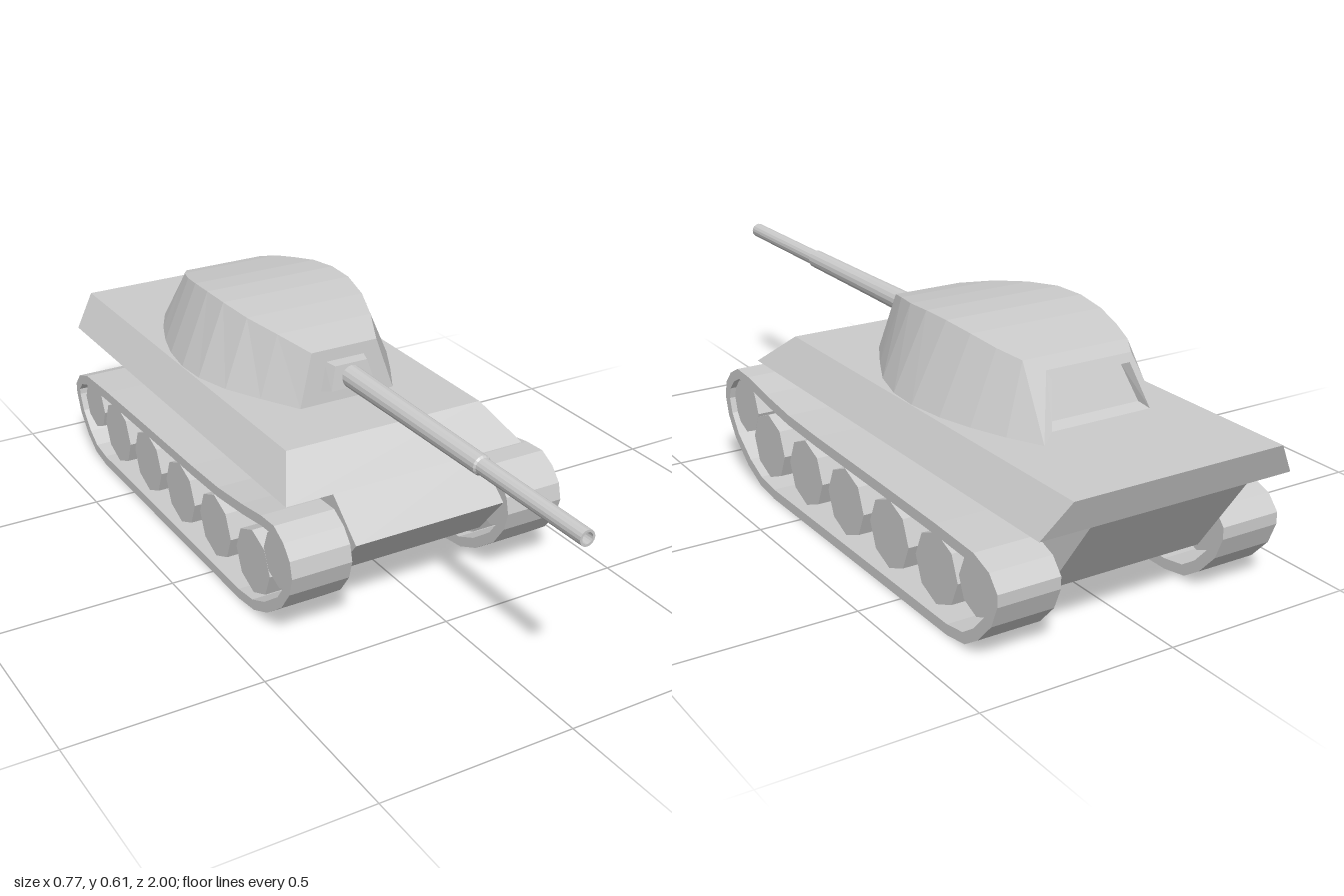
import * as THREE from 'three';

const material = new THREE.MeshStandardMaterial({ color: 0xcccccc, flatShading: true });

function addMesh(parent, name, geometry) {
  const mesh = new THREE.Mesh(geometry, material);
  mesh.name = name;
  parent.add(mesh);
  return mesh;
}

// Four-cornered section, symmetric in x: bottom half-width, y, z, then the same for the top
function section(xb, yb, zb, xt, yt, zt) {
  return [[-xb, yb, zb], [-xt, yt, zt], [xt, yt, zt], [xb, yb, zb]];
}

// Skin a row of sections running from front to back, with both ends capped
function loft(sections) {
  const pos = [];
  const quad = (a, b, c, d) => pos.push(...a, ...b, ...c, ...a, ...c, ...d);
  for (let i = 0; i < sections.length - 1; i++) {
    const s = sections[i], t = sections[i + 1];
    for (let j = 0; j < 4; j++) {
      const k = (j + 1) % 4;
      quad(s[j], s[k], t[k], t[j]);
    }
  }
  const first = sections[0], last = sections[sections.length - 1];
  quad(first[0], first[3], first[2], first[1]);
  quad(...last);
  const g = new THREE.BufferGeometry();
  g.setAttribute('position', new THREE.Float32BufferAttribute(pos, 3));
  g.computeVertexNormals();
  return g;
}

// Extrude a (z, y) side profile across x, centred on x = 0
function extrudeSide(shape, width) {
  const g = new THREE.ExtrudeGeometry(shape, { depth: width, bevelEnabled: false });
  g.rotateY(-Math.PI / 2);
  g.translate(width / 2, 0, 0);
  return g;
}

const toPoints = (list) => list.map(([a, b]) => new THREE.Vector2(a, b));

// Shrink a counter-clockwise closed outline by a constant thickness
function inset(points, t) {
  const n = points.length;
  return points.map((p, i) => {
    const before = p.clone().sub(points[(i + n - 1) % n]).normalize();
    const after = points[(i + 1) % n].clone().sub(p).normalize();
    const dir = before.add(after).normalize();
    return new THREE.Vector2(p.x - dir.y * t, p.y + dir.x * t);
  });
}

function buildTrack(name, x) {
  const track = new THREE.Group();
  track.name = name;
  track.position.x = x;

  // Belt
  const outline = toPoints([
    [-0.7, 0], [0.15, 0], [0.23, 0.01], [0.3, 0.04], [0.375, 0.095], [0.415, 0.15],
    [0.43, 0.2], [0.42, 0.243], [0.39, 0.278], [0.345, 0.302], [0.28, 0.299],
    [0.18, 0.283], [0.05, 0.268], [-0.1, 0.262], [-0.4, 0.256], [-0.65, 0.25],
    [-0.8, 0.243], [-0.86, 0.222], [-0.892, 0.185], [-0.892, 0.155],
    [-0.87, 0.1], [-0.82, 0.045], [-0.77, 0.012],
  ]);
  const shape = new THREE.Shape(outline);
  shape.holes.push(new THREE.Path(inset(outline, 0.027)));
  addMesh(track, 'trackBelt', extrudeSide(shape, 0.162));

  // Wheels
  const addWheel = (part, z, y, r) => {
    const g = new THREE.CylinderGeometry(r, r, 0.13, 8);
    g.rotateZ(Math.PI / 2);
    addMesh(track, part, g).position.set(0, y, z);
  };
  for (let i = 0; i < 5; i++) addWheel('roadWheel', 0.2 - i * 0.207, 0.128, 0.088);
  addWheel('frontWheel', 0.335, 0.198, 0.075);
  addWheel('rearWheel', -0.79, 0.153, 0.07);
  return track;
}

function buildTurret() {
  const turret = new THREE.Group();
  turret.name = 'turret';
  const base = 0.412;

  // Shell: base x, base z, top x, top y, top z
  const sections = [
    [0.137, 0.025, 0.095, 0.55, 0.01],
    [0.195, -0.08, 0.138, 0.575, -0.09],
    [0.245, -0.18, 0.172, 0.592, -0.19],
    [0.273, -0.28, 0.189, 0.604, -0.29],
    [0.278, -0.37, 0.191, 0.605, -0.38],
    [0.265, -0.47, 0.183, 0.597, -0.47],
    [0.24, -0.56, 0.167, 0.583, -0.55],
    [0.205, -0.65, 0.145, 0.571, -0.62],
    [0.162, -0.733, 0.117, 0.558, -0.67],
  ].map(([xb, zb, xt, yt, zt]) => section(xb, base, zb, xt, yt, zt));
  // Recessed panel in the rear face
  sections.push(section(0.135, 0.436, -0.723, 0.107, 0.538, -0.679));
  sections.push(section(0.125, 0.446, -0.693, 0.1, 0.528, -0.657));
  addMesh(turret, 'turretShell', loft(sections));

  // Gun mantlet
  addMesh(turret, 'mantlet', loft([
    section(0.063, 0.455, 0.055, 0.046, 0.517, 0.045),
    section(0.077, 0.444, 0.015, 0.057, 0.52, 0.005),
  ]));

  // Stepped barrel with a hollow muzzle
  const profile = toPoints([
    [0.03, 0.03], [0.027, 0.3], [0.025, 0.62], [0.021, 0.625],
    [0.02, 1], [0.014, 1], [0.014, 0.9], [0, 0.9],
  ]);
  const gun = new THREE.LatheGeometry(profile, 16);
  gun.rotateX(Math.PI / 2);
  addMesh(turret, 'gunBarrel', gun).position.y = 0.481;
  return turret;
}

export function createModel() {
  const model = new THREE.Group();
  model.name = 'tank';

  // Hull: wide sloped upper body over a narrow tub
  addMesh(model, 'upperHull', loft([
    section(0.34, 0.325, 0.318, 0.28, 0.412, 0.212),
    section(0.34, 0.325, -0.968, 0.28, 0.412, -1),
  ]));
  const tub = new THREE.Shape(toPoints([
    [0.318, 0.325], [-0.968, 0.325], [-0.825, 0.12], [0.33, 0.12], [0.425, 0.236],
  ]));
  addMesh(model, 'lowerHull', extrudeSide(tub, 0.424));

  for (const side of [-1, 1]) {
    model.add(buildTrack(side > 0 ? 'leftTrack' : 'rightTrack', side * 0.306));
  }
  model.add(buildTurret());
  return model;
}
